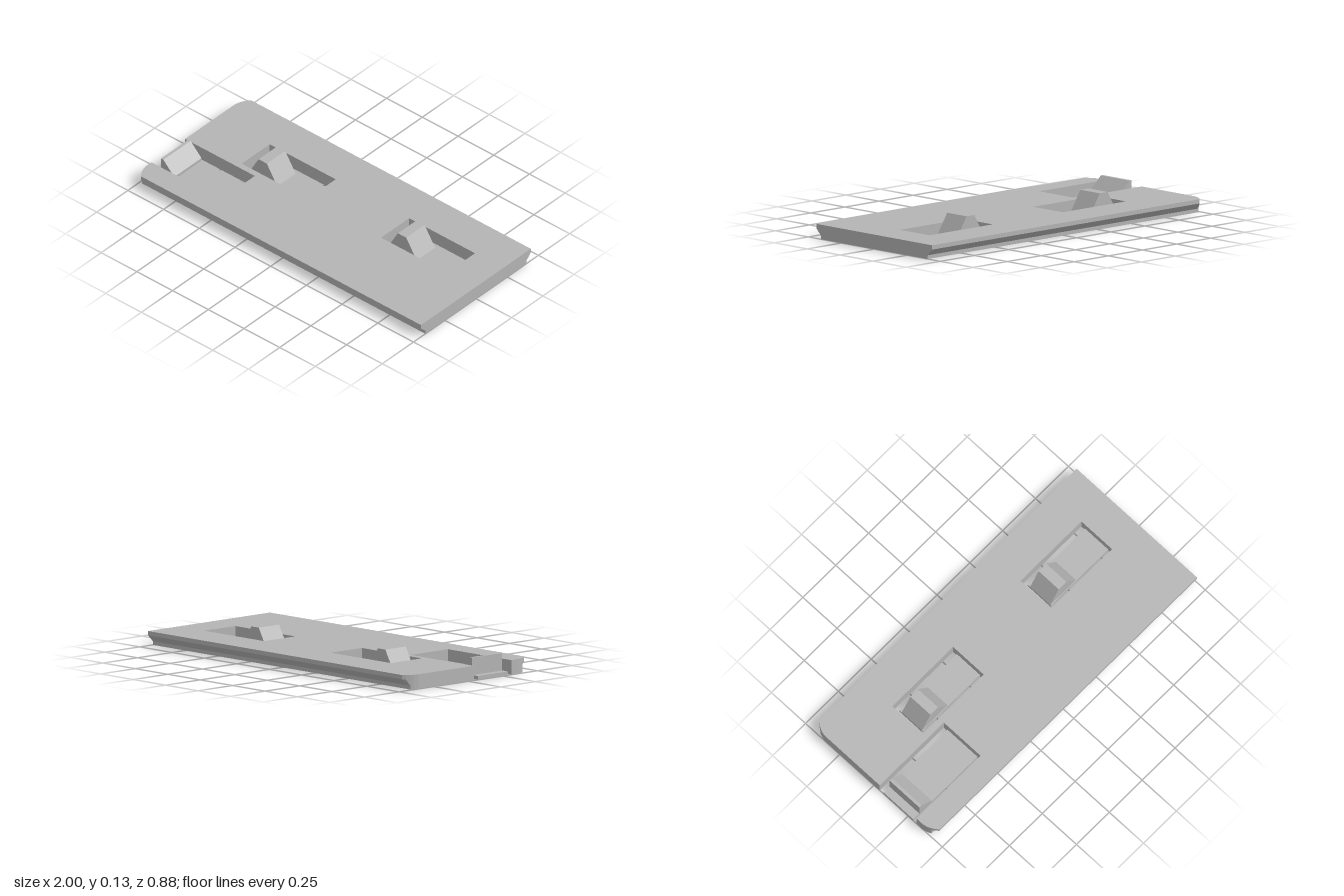
import * as THREE from 'three';

const gray = new THREE.MeshStandardMaterial({ color: 0xb4b4b4 });
gray.name = 'gray plastic';

const FLOOR = 0.02;                       // thickness of the spring tongues
const LEVELS = [0, FLOOR, 0.055, 0.078];  // heights of the plate's profile
const HALF = [0.405, 0.405, 0.44, 0.44];  // half width at each height

const points = (list) => list.map(([x, y]) => new THREE.Vector2(x, y));

function addMesh(group, name, geometry) {
  const mesh = new THREE.Mesh(geometry, gray);
  mesh.name = name;
  group.add(mesh);
}

// Plate with two closed pockets and one pocket open at the rounded end
function plateGeometry() {
  const corner = [[-0.96, 0.44], [-0.972, 0.426], [-0.985, 0.405], [-0.994, 0.385], [-1, 0.36]];
  const shape = new THREE.Shape(points([
    [1, -0.44], [1, 0.44], ...corner,
    [-1, 0.311], [-0.512, 0.311], [-0.512, 0.042], [-1, 0.042],
    ...corner.map(([x, z]) => [x, -z]).reverse(),
  ]));
  for (const x of [-0.634, 0.342]) {
    shape.holes.push(new THREE.Path(points([
      [x, -0.217], [x, 0.007], [x + 0.462, 0.007], [x + 0.462, -0.217],
    ])));
  }
  const geometry = new THREE.ExtrudeGeometry(shape, { depth: 3, steps: 3, bevelEnabled: false });
  geometry.rotateX(Math.PI / 2).translate(0, 3, 0);

  // Set the real heights and narrow the underside along both long edges
  const p = geometry.attributes.position;
  for (let i = 0; i < p.count; i++) {
    const step = Math.round(p.getY(i));
    p.setY(i, LEVELS[step]);
    p.setZ(i, THREE.MathUtils.clamp(p.getZ(i), -HALF[step], HALF[step]));
  }
  geometry.computeVertexNormals();
  return geometry;
}

// Side profile in x and y, extruded from z0 to z1
function prism(profile, z0, z1) {
  return new THREE.ExtrudeGeometry(new THREE.Shape(points(profile)), { depth: z1 - z0, bevelEnabled: false })
    .translate(0, 0, z0);
}

// Thin tongue on the pocket floor, fixed at its +x end
const tongue = (x0, x1, z0, z1) => prism([[x0, 0], [x1, 0], [x1, FLOOR], [x0, FLOOR]], z0, z1);

export function createModel() {
  const model = new THREE.Group();
  model.name = 'snapCover';
  addMesh(model, 'plate', plateGeometry());

  // Two inner latches with a wedge-shaped catch
  for (const [name, x] of [['right', -0.634], ['left', 0.342]]) {
    const latch = new THREE.Group();
    latch.name = name + 'Latch';
    addMesh(latch, 'tongue', tongue(x + 0.025, x + 0.462, -0.19, -0.02));
    addMesh(latch, 'catch', prism([
      [x + 0.025, FLOOR], [x + 0.221, FLOOR], [x + 0.148, 0.134], [x + 0.09, 0.134],
    ], -0.172, -0.025));
    model.add(latch);
  }

  // Latch at the open end, with an upright front and a sloped back
  const endLatch = new THREE.Group();
  endLatch.name = 'endLatch';
  addMesh(endLatch, 'tongue', tongue(-1, -0.512, 0.07, 0.288));
  addMesh(endLatch, 'catch', prism([
    [-0.954, FLOOR], [-0.861, FLOOR], [-0.861, 0.037], [-0.937, 0.113], [-0.954, 0.113],
  ], 0.07, 0.288));
  model.add(endLatch);

  return model;
}
